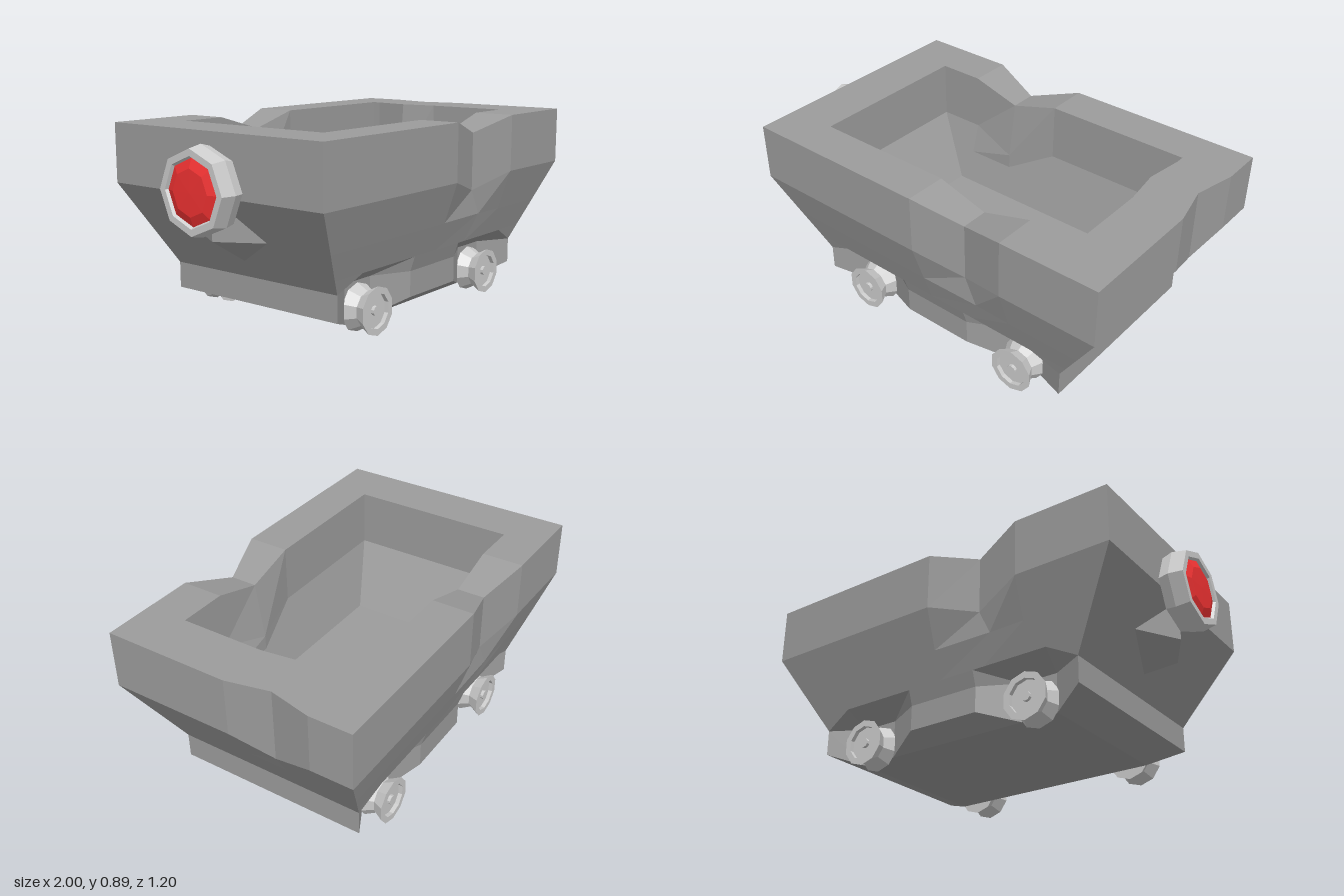
import * as THREE from 'three';

const bodyGrey = new THREE.MeshStandardMaterial({ color: 0x9c9c9c, flatShading: true });
const grey = new THREE.MeshStandardMaterial({ color: 0xcccccc, flatShading: true });
const red = new THREE.MeshStandardMaterial({ color: 0xf03232, flatShading: true });

// Flat-faced mesh from a list of convex polygons
function polyMesh(name, polys) {
  const pos = [];
  for (const p of polys) {
    for (let i = 1; i < p.length - 1; i++) pos.push(...p[0], ...p[i], ...p[i + 1]);
  }
  const g = new THREE.BufferGeometry();
  g.setAttribute('position', new THREE.Float32BufferAttribute(pos, 3));
  g.computeVertexNormals();
  const m = new THREE.Mesh(g, bodyGrey);
  m.name = name;
  return m;
}

function lathe(name, profile, sides, material) {
  const pts = profile.map(([r, h]) => new THREE.Vector2(r, h));
  const m = new THREE.Mesh(new THREE.LatheGeometry(pts, sides), material);
  m.name = name;
  return m;
}

// Rectangular ring with a dent in the front, +x end and back
function ring(hx, hz, y, { dip = 0, push = 0, endDip = 0, endPush = 0, shift = 0 } = {}) {
  const far = -Math.min(0.4, hz * 0.9);
  return [
    [-hx, y, hz],
    [-0.01, y, hz], [0.23 + shift, y - dip, hz - push], [0.47, y, hz],
    [hx, y, hz],
    [hx, y, 0], [hx - endPush, y - endDip, far / 2], [hx, y, far],
    [hx, y, -hz],
    [0, y, -hz], [-0.24 - shift, y - dip, -hz + push], [-0.48, y, -hz],
    [-hx, y, -hz],
  ];
}

// Hopper: outside upward, across the rim, then down to the floor
function hopper() {
  const rings = [
    ring(0.743, 0.493, 0.30),
    ring(0.823, 0.537, 0.43, { push: 0.004, shift: 0.06 }),
    ring(0.94, 0.6, 0.62, { dip: 0.07, push: 0.07, endDip: 0.07, endPush: 0.045 }),
    ring(0.94, 0.6, 0.89, { dip: 0.07, push: 0.07, endPush: 0.045 }),
    ring(0.70, 0.40, 0.89, { dip: 0.07, endPush: 0.025 }),
    ring(0.70, 0.40, 0.62, { dip: 0.07, push: 0.04, endDip: 0.07, endPush: 0.06 }),
    ring(0.616, 0.359, 0.48),
    ring(0.525, 0.315, 0.33),
  ];
  const polys = [];
  for (let k = 0; k < rings.length - 1; k++) {
    const a = rings[k], b = rings[k + 1];
    a.forEach((p, i) => {
      const j = (i + 1) % a.length;
      polys.push([p, a[j], b[j], b[i]]);
    });
  }
  const floor = rings[rings.length - 1];
  floor.forEach((p, i) => polys.push([p, floor[(i + 1) % floor.length], [0, 0.33, 0]]));
  return polyMesh('hopper', polys);
}

// Chassis with flared wheel wells: one quarter, mirrored in x and z
function chassis() {
  const T = [0.743, 0.30, 0.493], A = [0.56, 0.30, 0.493], B = [0.18, 0.30, 0.493];
  const C = [0.70, 0.23, 0.47], D = [0.70, 0.11, 0.47];
  const E = [0.18, 0.11, 0.47], F = [0.18, 0.23, 0.47];
  const I1 = [0.54, 0.23, 0.38], I2 = [0.36, 0.23, 0.38];
  const J1 = [0.54, 0.05, 0.38], J2 = [0.36, 0.05, 0.38];
  const midX = ([, y, z]) => [0, y, z];
  const midZ = ([x, y]) => [x, y, 0];
  const quarter = [
    [C, T, A],                              // corner above the arch
    [C, A, I1], [A, B, I2, I1],             // well roof
    [I1, J1, D, C],                         // outer well wall
    [J2, J1, I1, I2],                       // well back
    [E, J2, I2, F], [F, I2, B],             // inner well wall
    [midX(E), E, F, midX(F)],               // middle panel
    [midX(F), F, B, midX(B)],
    [midX(J2), J2, E, midX(E)],             // side chamfer
    [D, midZ(D), midZ(C), C],               // end panel
    [C, midZ(C), midZ(T), T],
    [J1, midZ(J1), midZ(D), D],             // end chamfer
    [midX(J1), [0, 0.05, 0], midZ(J1), J1], // underside
  ];
  const polys = [];
  for (const sx of [1, -1]) for (const sz of [1, -1]) {
    for (const q of quarter) {
      const p = q.map(([x, y, z]) => [x * sx, y, z * sz]);
      polys.push(sx * sz < 0 ? p.reverse() : p);
    }
  }
  return polyMesh('chassis', polys);
}

// Wedge bracket under the lamp
function lampBracket() {
  const top = [-0.94, 0.62, 0], tip = [-0.94, 0.43, 0], low = [-0.745, 0.31, 0];
  const l = [-0.823, 0.43, 0.2], r = [-0.823, 0.43, -0.2];
  return polyMesh('lampBracket', [[tip, l, top], [low, l, tip], [top, r, tip], [tip, r, low]]);
}

// Grooved wheel with a recessed face and a small hub
function wheel() {
  return lathe('wheel', [
    [0, -0.055], [0.11, -0.055], [0.08, 0], [0.11, 0.055], [0.08, 0.055],
    [0.08, 0.035], [0.022, 0.035], [0.022, 0.05], [0, 0.05],
  ], 10, grey);
}

export function createModel() {
  const cart = new THREE.Group();
  cart.name = 'mineCart';
  const body = new THREE.Group();
  body.name = 'body';
  body.position.x = 0.06;
  body.add(hopper(), chassis(), lampBracket());
  cart.add(body);

  for (const x of [-0.45, 0.45]) for (const side of [1, -1]) {
    const w = wheel();
    w.position.set(x, 0.11, side * 0.435);
    w.rotation.x = side * Math.PI / 2;
    body.add(w);
  }

  // Round lamp on the -x end
  const lamp = new THREE.Group();
  lamp.name = 'lamp';
  lamp.add(lathe('lampHousing', [
    [0, 0], [0.18, 0], [0.193, 0.05], [0.18, 0.115], [0.15, 0.115], [0.14, 0.1], [0, 0.1],
  ], 8, grey));
  lamp.add(lathe('lampLens', [[0.143, 0.102], [0.1, 0.118], [0, 0.12]], 8, red));
  lamp.position.set(-0.94, 0.65, 0);
  lamp.rotation.z = Math.PI / 2;
  body.add(lamp);
  return cart;
}
